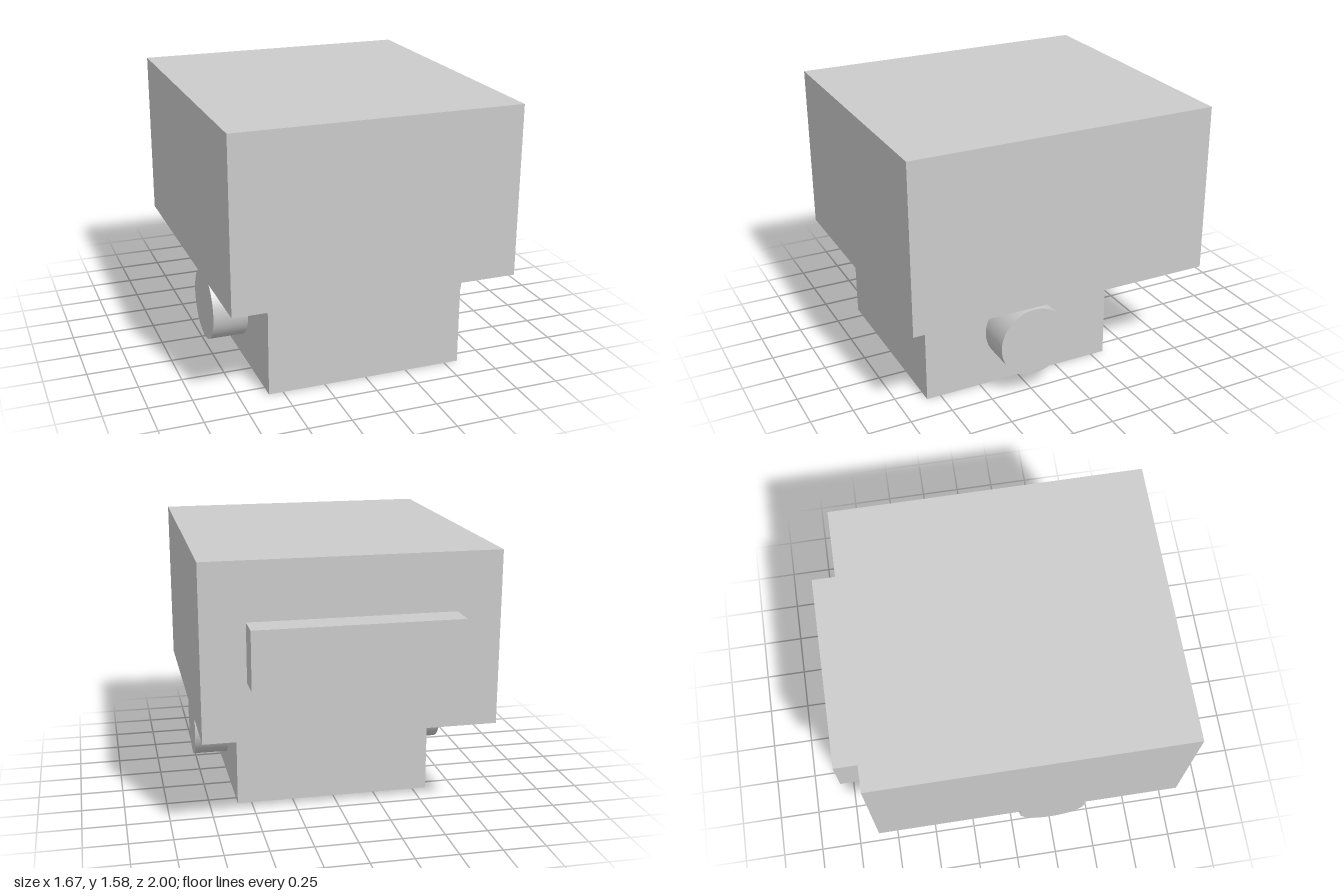
import * as THREE from 'three';

const material = new THREE.MeshStandardMaterial({ color: 0xcccccc });

function addBox(group, name, size, position) {
  const mesh = new THREE.Mesh(new THREE.BoxGeometry(...size), material);
  mesh.name = name;
  mesh.position.set(...position);
  group.add(mesh);
}

export function createModel() {
  const group = new THREE.Group();
  group.name = 'blockModel';

  // Large upper block, narrower base below it, and a bar across the back
  addBox(group, 'upperBlock', [1.667, 1, 1.833], [0, 1.083, 0.083]);
  addBox(group, 'base', [1.167, 0.583, 1.167], [0, 0.2915, 0.25]);
  addBox(group, 'backBar', [1.167, 0.333, 0.167], [0, 1.083, -0.9165]);

  // Round stub on each side of the base
  const stub = new THREE.CylinderGeometry(0.208, 0.208, 0.208, 64).rotateZ(Math.PI / 2);
  for (const side of [1, -1]) {
    const mesh = new THREE.Mesh(stub, material);
    mesh.name = side > 0 ? 'leftStub' : 'rightStub';
    mesh.position.set(side * 0.687, 0.335, 0.25);
    group.add(mesh);
  }
  return group;
}
